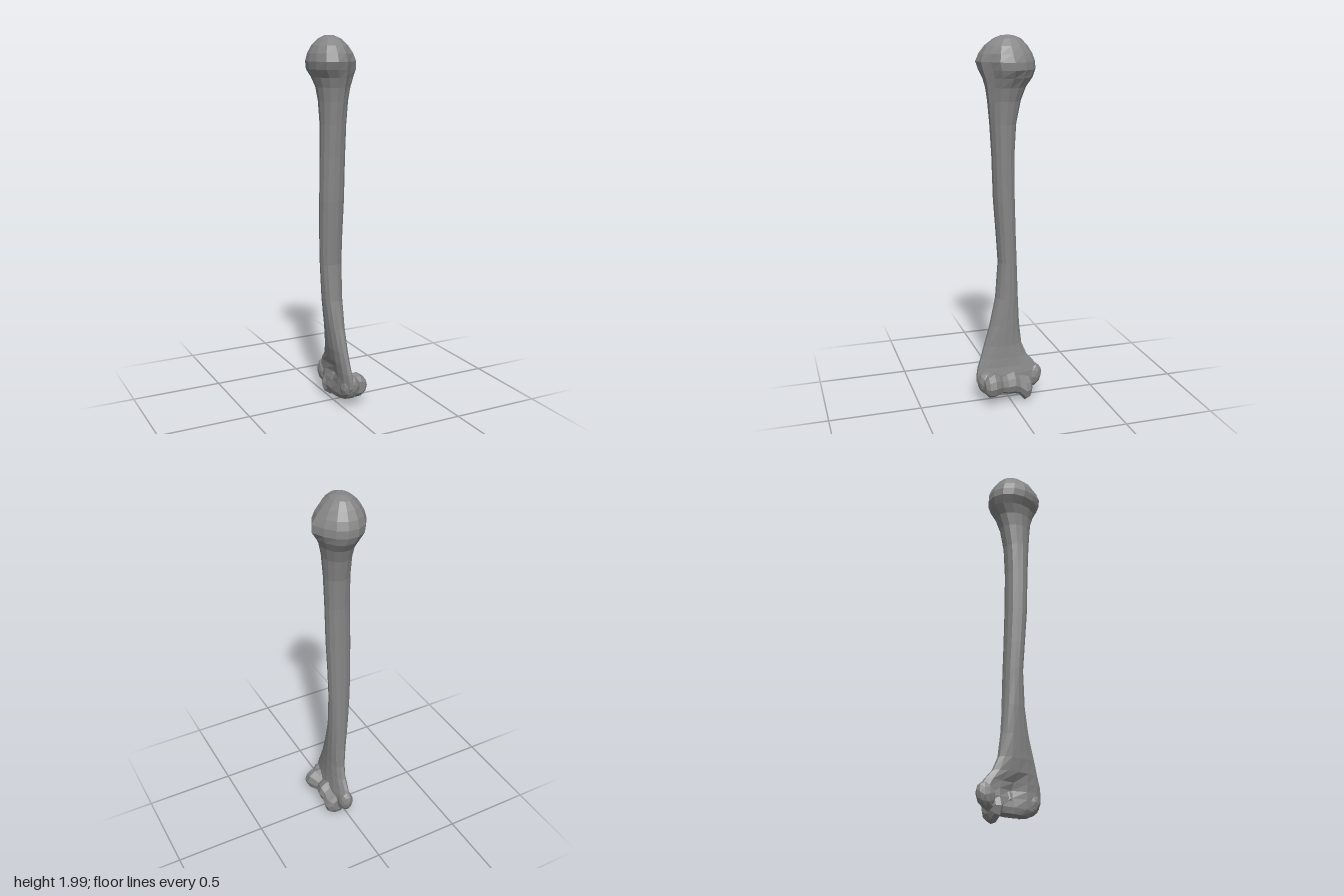
import * as THREE from 'three';

const bone = new THREE.MeshStandardMaterial({ color: 0x868686, flatShading: true });

// Soft bell curve around c with width w
const bell = (v, c, w) => Math.exp(-(((v - c) / w) ** 2));

// Loft of oval rings; each row is [y, xMin, xMax, zMin, zMax], listed from the top down.
function loft(name, rows, sides, rule) {
  const pos = [], idx = [];
  rows.forEach(([y, x0, x1, z0, z1]) => {
    for (let j = 0; j < sides; j++) {
      // Angle runs from -PI to PI, 0 being +x
      const a = (j / sides) * Math.PI * 2 - Math.PI;
      const p = new THREE.Vector3(
        (x0 + x1) / 2 + Math.cos(a) * (x1 - x0) / 2, y,
        (z0 + z1) / 2 + Math.sin(a) * (z1 - z0) / 2);
      if (rule) rule(p, a);
      pos.push(p.x, p.y, p.z);
    }
  });
  const last = rows.length - 1;
  for (let i = 0; i < last; i++) {
    for (let j = 0; j < sides; j++) {
      const k = (j + 1) % sides;
      const a = i * sides + j, d = i * sides + k, b = a + sides, c = d + sides;
      idx.push(a, d, c, a, c, b);
    }
  }
  // Close both ends with a fan
  for (let j = 1; j < sides - 1; j++) {
    idx.push(0, j + 1, j);
    idx.push(last * sides, last * sides + j, last * sides + j + 1);
  }
  const geo = new THREE.BufferGeometry();
  geo.setAttribute('position', new THREE.Float32BufferAttribute(pos, 3));
  geo.setIndex(idx);
  geo.computeVertexNormals();
  const mesh = new THREE.Mesh(geo, bone);
  mesh.name = name;
  return mesh;
}

// Faceted bump
function knob(name, center, size, tilt) {
  const mesh = new THREE.Mesh(new THREE.IcosahedronGeometry(1, 1), bone);
  mesh.name = name;
  mesh.position.set(...center);
  mesh.scale.set(...size);
  mesh.rotation.x = tilt;
  return mesh;
}

export function createModel() {
  const group = new THREE.Group();
  group.name = 'upperArmBone';

  // Rounded head, shaft and flared lower end in one skin
  const rows = [
    [2.0, -0.045, 0.0, -0.03, 0.03],
    [1.985, -0.075, 0.035, -0.07, 0.07],
    [1.95, -0.112, 0.07, -0.105, 0.115],
    [1.91, -0.133, 0.095, -0.13, 0.14],
    [1.87, -0.142, 0.108, -0.145, 0.152],
    [1.83, -0.136, 0.11, -0.146, 0.144],
    [1.79, -0.11, 0.1, -0.13, 0.132],
    [1.74, -0.094, 0.083, -0.094, 0.119],
    [1.67, -0.086, 0.067, -0.068, 0.108],
    [1.55, -0.082, 0.056, -0.045, 0.096],
    [1.38, -0.083, 0.052, -0.036, 0.085],
    [1.15, -0.085, 0.05, -0.039, 0.077],
    [0.95, -0.081, 0.046, -0.045, 0.062],
    [0.8, -0.075, 0.045, -0.05, 0.053],
    [0.6, -0.065, 0.045, -0.056, 0.07],
    [0.45, -0.052, 0.046, -0.062, 0.105],
    [0.33, -0.04, 0.047, -0.075, 0.142],
    [0.26, -0.033, 0.052, -0.105, 0.164],
    [0.21, -0.03, 0.058, -0.148, 0.182],
    [0.17, -0.028, 0.066, -0.174, 0.19],
    [0.13, -0.026, 0.07, -0.18, 0.192],
    [0.08, -0.024, 0.073, -0.15, 0.17],
    [0.05, -0.015, 0.07, -0.11, 0.12],
  ];
  group.add(loft('shaftAndHead', rows, 14, (p, a) => {
    // Two bumps beside the head with a groove running down between them
    const push = 0.028 * bell(a, 0, 0.4) * bell(p.y, 1.85, 0.06)
      + 0.016 * bell(a, 1.95, 0.4) * bell(p.y, 1.87, 0.06)
      - 0.022 * bell(a, 0.9, 0.35) * bell(p.y, 1.82, 0.13);
    p.x += Math.cos(a) * push;
    p.z += Math.sin(a) * push;
    // Hollow above the joint, on the -x face
    if (p.x < 0) p.x += 0.04 * bell(p.z, 0, 0.07) * bell(p.y, 0.18, 0.06);
  }));

  // Side bumps of the lower end
  group.add(knob('innerEpicondyle', [0.018, 0.13, -0.135], [0.042, 0.07, 0.052], -0.3));
  group.add(knob('outerEpicondyle', [0.035, 0.125, 0.135], [0.055, 0.07, 0.052], 0.2));

  // Grooved joint roller: [position along z, centre x, centre y, radius]
  const roller = [
    [0.16, 0.085, 0.12, 0.035],
    [0.14, 0.08, 0.12, 0.06],
    [0.105, 0.07, 0.123, 0.07],
    [0.075, 0.06, 0.118, 0.06],
    [0.055, 0.053, 0.11, 0.048],
    [0.03, 0.055, 0.115, 0.06],
    [-0.01, 0.055, 0.122, 0.068],
    [-0.04, 0.053, 0.105, 0.06],
    [-0.075, 0.044, 0.078, 0.076],
    [-0.1, 0.046, 0.08, 0.066],
    [-0.115, 0.048, 0.085, 0.04],
  ];
  const joint = loft('jointRoller',
    roller.map(([z, x, y, r]) => [z, x - r, x + r, -y - r, -y + r]), 10);
  joint.rotation.x = Math.PI / 2;
  group.add(joint);

  return group;
}
